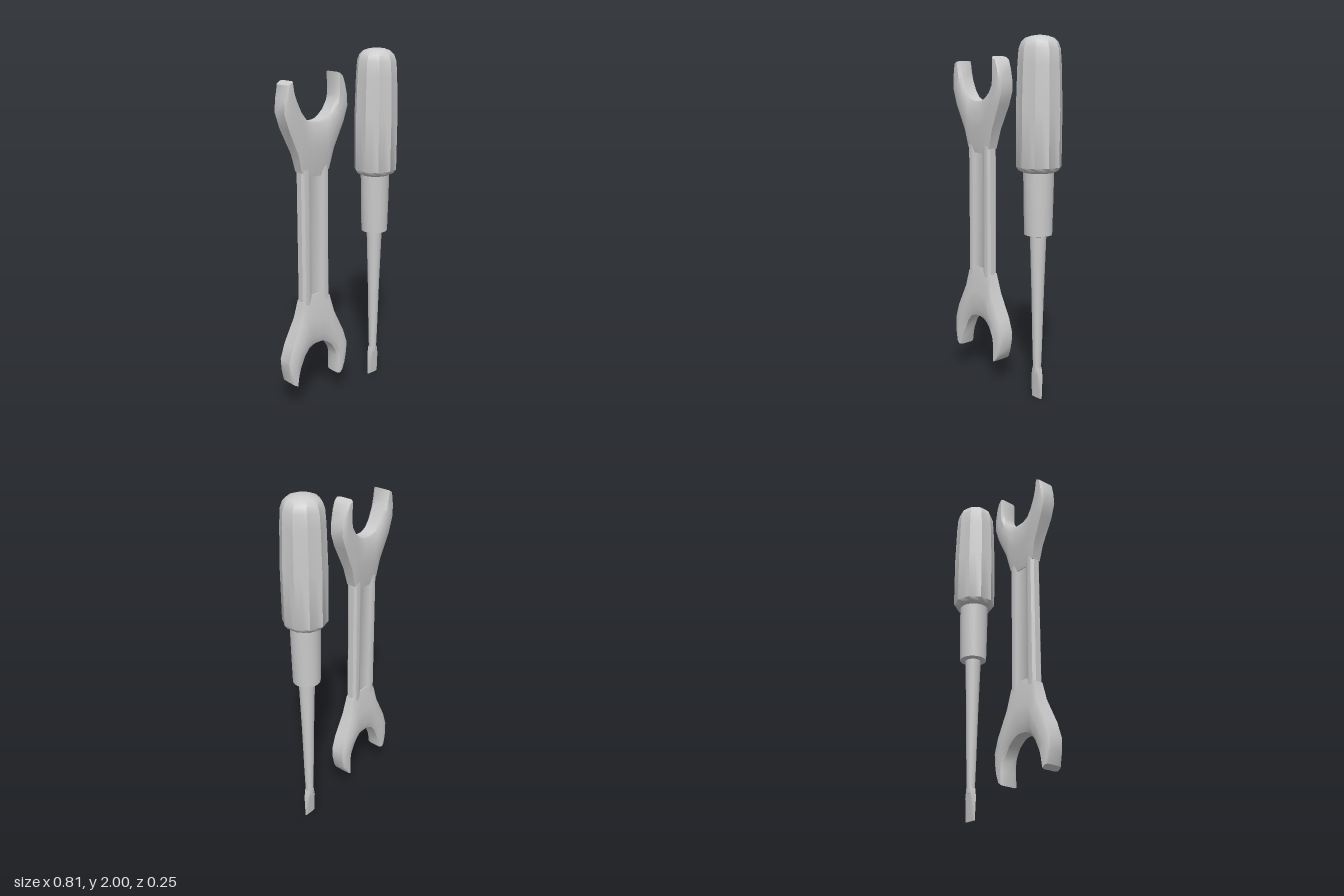
import * as THREE from 'three';
import { toCreasedNormals } from 'three/addons/utils/BufferGeometryUtils.js';

const material = new THREE.MeshStandardMaterial({ color: 0xcccccc });

// Skins closed rings of [x, y, z] points, caps both ends and turns the faces outward
function loft(name, rings, crease = 0.6) {
  const n = rings[0].length;
  const pts = rings.flat();
  const tris = [];
  for (let r = 0; r < rings.length - 1; r++) {
    for (let i = 0; i < n; i++) {
      const a = r * n + i, b = r * n + (i + 1) % n;
      tris.push([a, b, a + n], [b, b + n, a + n]);
    }
  }
  for (const r of [0, rings.length - 1]) {
    const centre = [0, 1, 2].map(k => rings[r].reduce((s, p) => s + p[k], 0) / n);
    const c = pts.push(centre) - 1;
    for (let i = 0; i < n; i++) {
      const a = r * n + i, b = r * n + (i + 1) % n;
      tris.push(r === 0 ? [c, b, a] : [c, a, b]);
    }
  }
  const v = pts.map(p => new THREE.Vector3(...p));
  const volume = tris.reduce((s, [a, b, c]) => s + v[a].dot(v[b].clone().cross(v[c])), 0);
  if (volume < 0) tris.forEach(t => t.reverse());

  const geometry = new THREE.BufferGeometry();
  geometry.setAttribute('position', new THREE.Float32BufferAttribute(pts.flat(), 3));
  geometry.setIndex(tris.flat());
  const mesh = new THREE.Mesh(toCreasedNormals(geometry, crease), material);
  mesh.name = name;
  return mesh;
}

// Ring in the xz plane; every second point is pulled in by the flute factor
function ring(y, rx, rz = rx, flute = 1, sides = 20) {
  return Array.from({ length: sides }, (_, i) => {
    const a = i / sides * Math.PI * 2;
    const k = i % 2 ? flute : 1;
    return [Math.sin(a) * rx * k, y, Math.cos(a) * rz * k];
  });
}

// Flat rectangular ring with the same point count as ring()
function flatRing(y, hx, hz) {
  return ring(y, 1).map(([x, , z]) => {
    const m = Math.max(Math.abs(x), Math.abs(z));
    return [x / m * hx, y, z / m * hz];
  });
}

function createScrewdriver() {
  const group = new THREE.Group();
  group.name = 'screwdriver';

  // Fluted grip with a domed end: [y, radius, flute factor]
  const grip = [
    [1.285, 0.085, 1], [1.295, 0.108, 0.96], [1.315, 0.123, 0.93], [1.62, 0.124, 0.93],
    [1.85, 0.117, 0.93], [1.93, 0.111, 0.94], [1.965, 0.098, 0.95], [1.985, 0.077, 0.97],
    [1.996, 0.045, 0.99], [2, 0.015, 1],
  ];
  group.add(loft('grip', grip.map(([y, r, f]) => ring(y, r, r, f))));

  // Collar below the grip
  const collar = [[0.94, 0.06], [0.945, 0.077], [1.12, 0.081], [1.3, 0.084]];
  group.add(loft('collar', collar.map(([y, r]) => ring(y, r))));

  // Tapered shank
  const shank = [[0.15, 0.022], [0.3, 0.027], [0.62, 0.035], [0.96, 0.046]];
  group.add(loft('shank', shank.map(([y, r]) => ring(y, r))));

  // Flat blade tip: [y, half width, half thickness]
  const blade = [[0, 0.037, 0.004], [0.06, 0.036, 0.009], [0.13, 0.033, 0.016], [0.18, 0.022, 0.02]];
  group.add(loft('bladeTip', blade.map(([y, hx, hz]) => flatRing(y, hx, hz))));

  group.position.x = 0.284;
  return group;
}

function createJaw(name) {
  // Stations round the horseshoe: outer x, y and inner x, y
  const stations = [
    [-0.383, 1.85, -0.350, 1.87], [-0.400, 1.78, -0.335, 1.81], [-0.405, 1.71, -0.318, 1.765],
    [-0.375, 1.62, -0.290, 1.705], [-0.310, 1.48, -0.257, 1.664], [-0.285, 1.38, -0.235, 1.653],
    [-0.235, 1.35, -0.215, 1.646], [-0.145, 1.35, -0.165, 1.646], [-0.095, 1.38, -0.140, 1.653],
    [-0.065, 1.49, -0.115, 1.67], [0.000, 1.63, -0.087, 1.695], [0.027, 1.71, -0.060, 1.74],
    [0.024, 1.77, -0.050, 1.775], [0.010, 1.83, -0.048, 1.83], [-0.010, 1.87, -0.045, 1.895],
  ];
  // Bevelled half section: [fraction from outer to inner edge, share of thickness]
  const half = [[0, 0.76], [0.17, 0.97], [0.5, 1], [0.83, 1], [1, 0.7]];
  const section = [...half, ...half.slice().reverse().map(([u, t]) => [u, -t])];
  // The head thins towards the neck
  const thickness = y => THREE.MathUtils.lerp(0.036, 0.053, THREE.MathUtils.smoothstep(y, 1.36, 1.62));

  return loft(name, stations.map(([ox, oy, ix, iy]) => section.map(([u, t]) => {
    const y = oy + (iy - oy) * u;
    return [ox + (ix - ox) * u, y, t * thickness(y)];
  })), 0.75);
}

function createWrench() {
  const group = new THREE.Group();
  group.name = 'wrench';

  const upperJaw = createJaw('upperJaw');
  const lowerJaw = createJaw('lowerJaw');
  lowerJaw.rotation.x = Math.PI;
  lowerJaw.position.y = 2.02;
  group.add(upperJaw, lowerJaw);

  // Shaft with rounded rails and a shallow channel on both faces
  const quarter = [[0.095, 0.018], [0.082, 0.032], [0.06, 0.035], [0.045, 0.031], [0.03, 0.022]];
  const front = [...quarter, ...quarter.slice().reverse().map(([x, z]) => [-x, z])];
  const section = [...front, ...front.slice().reverse().map(([x, z]) => [x, -z])];
  group.add(loft('shaft', [0.62, 1.01, 1.4].map(y => section.map(([x, z]) => [x - 0.19, y, z]))));
  return group;
}

export function createModel() {
  const model = new THREE.Group();
  model.name = 'handTools';
  model.add(createWrench(), createScrewdriver());
  return model;
}
